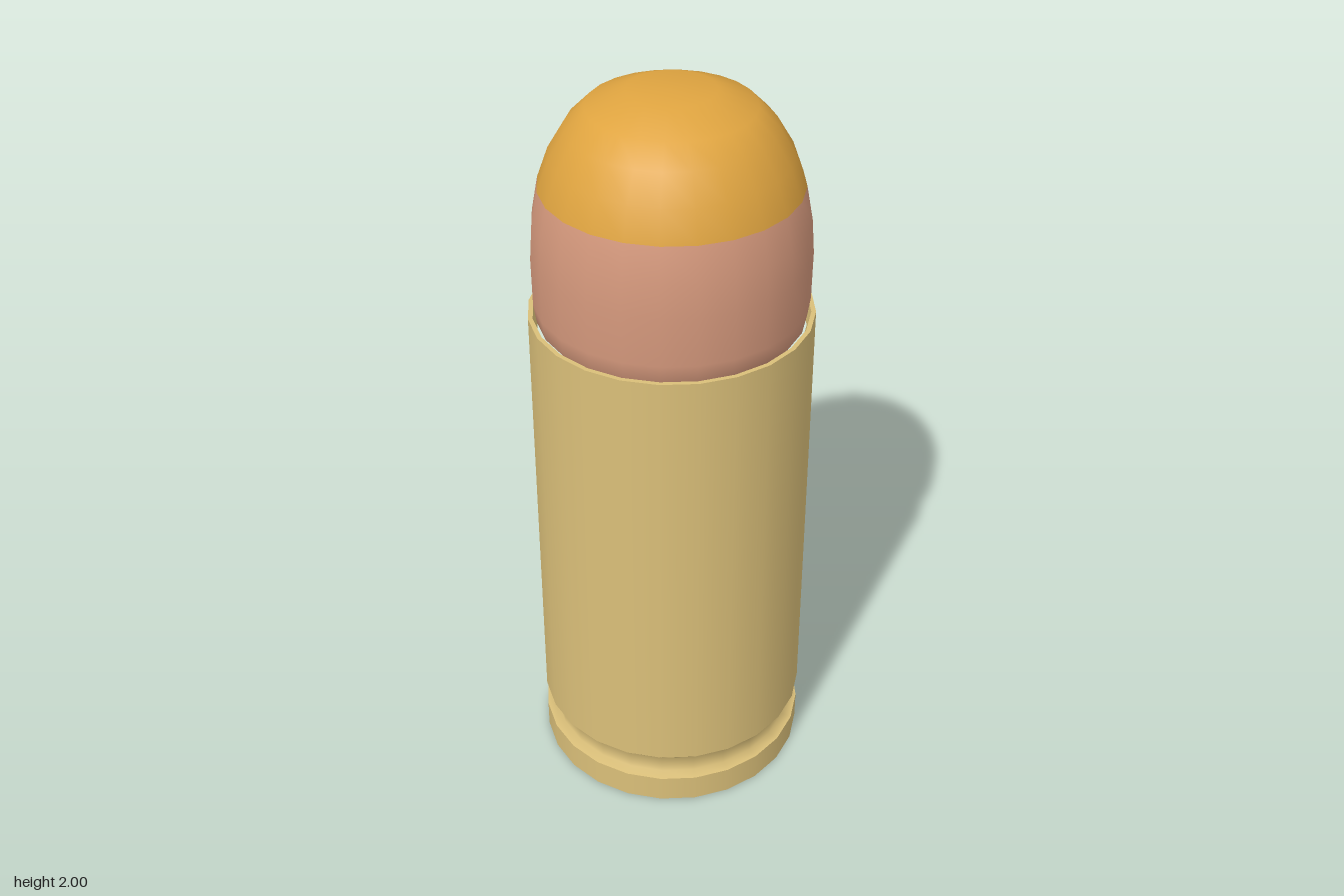
import * as THREE from 'three';

const SIDES = 24;

function material(name, color) {
  const m = new THREE.MeshStandardMaterial({ color });
  m.name = name;
  return m;
}

// Turned surface from [radius, height] pairs, listed from bottom to top
function turned(points) {
  return new THREE.LatheGeometry(points.map(([r, y]) => new THREE.Vector2(r, y)), SIDES);
}

export function createModel() {
  const brass = material('brass', 0xdabf79);
  const copper = material('copper', 0xd4987c);
  const amber = material('amber', 0xdfa440);
  const group = new THREE.Group();
  group.name = 'cartridge';

  function add(name, geometry, mat) {
    const mesh = new THREE.Mesh(geometry, mat);
    mesh.name = name;
    group.add(mesh);
  }

  // Closed underside and rim
  add('base', turned([[0, 0], [0.372, 0]]), brass);
  add('rim', turned([[0.372, 0], [0.372, 0.08]]), brass);

  // Extractor groove, smoothly shaded between the rim and the case
  add('groove', turned([[0.372, 0.08], [0.344, 0.085], [0.344, 0.135], [0.372, 0.165]]), brass);

  // Slightly tapered case wall and its open mouth
  add('caseWall', turned([[0.372, 0.165], [0.367, 1.41]]), brass);
  add('caseMouth', turned([[0.367, 1.41], [0.355, 1.41]]), brass);
  add('caseInside', turned([[0.355, 1.41], [0.345, 1.37]]), brass);

  // Rounded bullet: copper up to y = 1.76, amber above it
  const jacket = [[0.32, 1.37], [0.345, 1.4], [0.352, 1.45], [0.353, 1.58], [0.346, 1.67], [0.329, 1.76]];
  const tip = [[0.3, 1.84], [0.258, 1.91], [0.208, 1.96], [0.11, 2], [0, 2]];
  const bullet = turned([...jacket, ...tip]);
  const lower = (jacket.length - 1) * 6;
  const upper = tip.length * 6;
  for (let i = 0; i < SIDES; i++) {
    const start = i * (lower + upper);
    bullet.addGroup(start, lower, 0);
    bullet.addGroup(start + lower, upper, 1);
  }
  add('bullet', bullet, [copper, amber]);

  return group;
}
